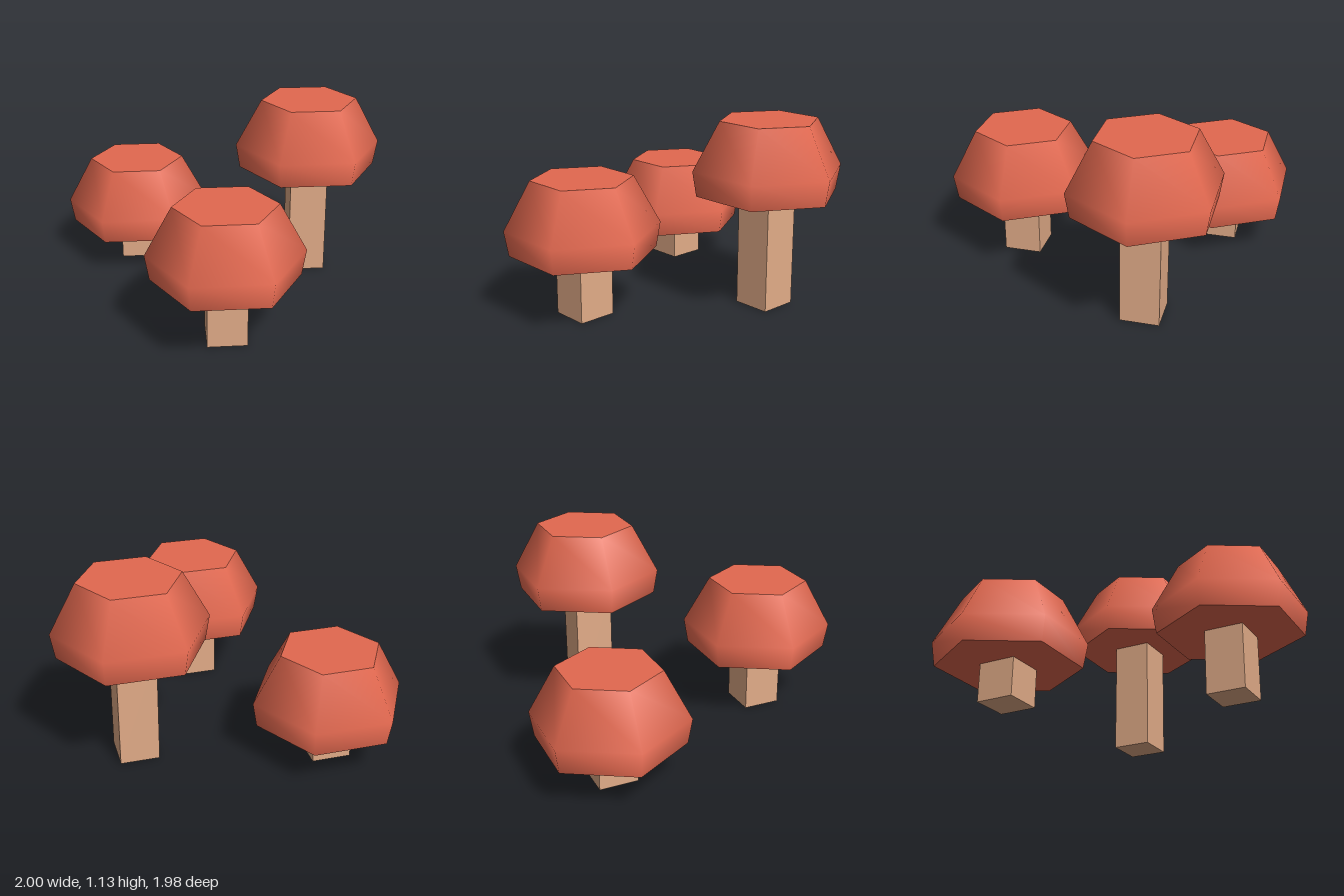
import * as THREE from 'three';
import { mergeGeometries } from 'three/addons/utils/BufferGeometryUtils.js';

const capRed = new THREE.MeshStandardMaterial({ name: 'capRed', color: 0xe2684f });
const stemTan = new THREE.MeshStandardMaterial({ name: 'stemTan', color: 0xe2ac88 });

// Hexagonal cap: smooth two-tier side, crisp flat top and underside
function capGeometry() {
  const profile = [[0.43, 0], [0.455, 0.15], [0.298, 0.438]].map(([r, y]) => new THREE.Vector2(r, y));
  const side = new THREE.LatheGeometry(profile, 6, Math.PI / 6);
  const top = new THREE.CircleGeometry(0.298, 6).rotateX(-Math.PI / 2).translate(0, 0.438, 0);
  const underside = new THREE.CircleGeometry(0.43, 6).rotateX(Math.PI / 2);
  return mergeGeometries([side, top, underside]);
}

// Square stem, narrower at the top
function stemGeometry(height) {
  const geometry = new THREE.BoxGeometry(0.29, height, 0.29).translate(0, height / 2, 0);
  const position = geometry.attributes.position;
  for (let i = 0; i < position.count; i++) {
    if (position.getY(i) > 0) {
      position.setX(i, position.getX(i) * 0.8);
      position.setZ(i, position.getZ(i) * 0.8);
    }
  }
  geometry.computeVertexNormals();
  return geometry;
}

export function createModel() {
  const model = new THREE.Group();
  model.name = 'mushrooms';
  const capShape = capGeometry();

  // Name, x, z and height of the cap's underside
  const mushrooms = [
    ['shortMushroom', -0.545, -0.597, 0.232],
    ['tallMushroom', 0.542, -0.318, 0.69],
    ['middleMushroom', -0.051, 0.592, 0.385],
  ];
  for (const [name, x, z, height] of mushrooms) {
    const mushroom = new THREE.Group();
    mushroom.name = name;
    mushroom.position.set(x, 0, z);

    const stem = new THREE.Mesh(stemGeometry(height), stemTan);
    stem.name = 'stem';
    const cap = new THREE.Mesh(capShape, capRed);
    cap.name = 'cap';
    cap.position.y = height;

    mushroom.add(stem, cap);
    model.add(mushroom);
  }
  return model;
}
